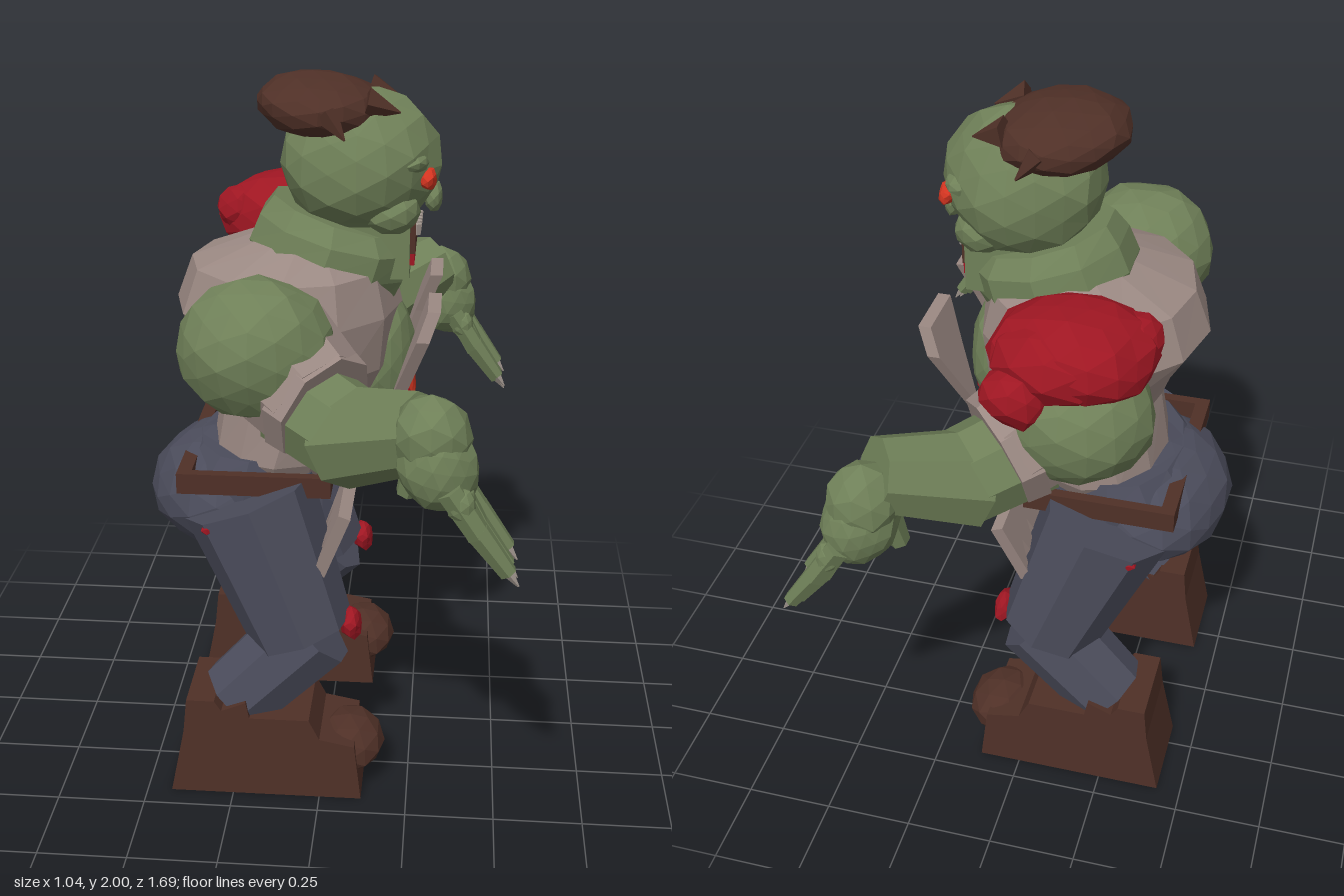
import * as THREE from 'three';

const GREEN = 0x6f8058, SHIRT = 0x9b8983, PANTS = 0x4b4c5b, BROWN = 0x4f3027, RED = 0x9e1622, GLOW = 0xd23420, BONE = 0xa39890;
const mats = {};
const mat = (c) => (mats[c] ??= new THREE.MeshStandardMaterial({ color: c, flatShading: true }));
const V = (p) => new THREE.Vector3(...p);

function add(parent, name, geo, color, pos = [0, 0, 0]) {
  const m = new THREE.Mesh(geo, mat(color));
  m.name = name;
  m.position.set(...pos);
  parent.add(m);
  return m;
}

// Faceted, slightly irregular ellipsoid
function blob(parent, name, color, pos, size, detail = 2, rough = 0.06, tilt = 0) {
  const geo = new THREE.IcosahedronGeometry(1, detail);
  const p = geo.attributes.position, v = new THREE.Vector3();
  for (let i = 0; i < p.count; i++) {
    v.fromBufferAttribute(p, i);
    const r = [v.x, v.y, v.z].map((n) => Math.round(n * 100));
    const h = Math.sin(r[0] * 1.27 + r[1] * 3.11 + r[2] * 7.47 + pos[1] * 9) * rough;
    v.multiplyScalar(1 + h);
    p.setXYZ(i, v.x, v.y, v.z);
  }
  geo.scale(...size).rotateZ(tilt);
  geo.computeVertexNormals();
  return add(parent, name, geo, color, pos);
}

// Tapered faceted cylinder from a to b
function limb(parent, name, color, a, b, ra, rb, sides = 8) {
  const d = V(b).sub(V(a));
  const geo = new THREE.CylinderGeometry(rb, ra, d.length(), sides);
  const m = add(parent, name, geo, color);
  m.position.copy(V(a).add(V(b)).multiplyScalar(0.5));
  m.quaternion.setFromUnitVectors(new THREE.Vector3(0, 1, 0), d.normalize());
  return m;
}

function box(parent, name, color, pos, size) {
  return add(parent, name, new THREE.BoxGeometry(...size), color, pos);
}

function plate(points, depth) {
  const shape = new THREE.Shape(points.map(([x, y]) => new THREE.Vector2(x, y)));
  return new THREE.ExtrudeGeometry(shape, { depth, bevelEnabled: false });
}

// Body of oval rings: [y, back x, front x, half width], optionally sloping down to the front
function loft(rings, sides, slope = 0) {
  const n = rings.length - 1;
  const geo = new THREE.CylinderGeometry(1, 1, n, sides, n);
  const p = geo.attributes.position;
  for (let i = 0; i < p.count; i++) {
    const [y, x0, x1, rz] = rings[Math.round(p.getY(i) + n / 2)];
    const x = p.getX(i);
    p.setXYZ(i, (x0 + x1) / 2 + (x * (x1 - x0)) / 2, y - x * slope, p.getZ(i) * rz);
  }
  geo.computeVertexNormals();
  return geo;
}

function buildHead(g) {
  const head = new THREE.Group();
  head.name = 'head';
  g.add(head);
  const neck = loft([[1.4, -0.22, 0.16, 0.16], [1.5, -0.23, 0.21, 0.21], [1.57, -0.2, 0.23, 0.2], [1.62, -0.16, 0.2, 0.16]], 10, 0.06);
  add(head, 'neck', neck, GREEN);
  blob(head, 'skull', GREEN, [0.08, 1.765, 0], [0.22, 0.2, 0.2], 2, 0.035);
  box(head, 'jaw', GREEN, [0.13, 1.54, 0], [0.18, 0.15, 0.22]);
  blob(head, 'hair', BROWN, [-0.02, 1.912, 0], [0.185, 0.088, 0.195], 2, 0.03, -0.1);
  blob(head, 'nose', GREEN, [0.28, 1.67, 0], [0.025, 0.045, 0.035], 1, 0.08);
  box(head, 'mouth', BROWN, [0.215, 1.57, 0], [0.04, 0.08, 0.17]);
  box(head, 'tongue', RED, [0.215, 1.515, 0], [0.035, 0.035, 0.165]);
  for (let i = -2; i <= 2; i++) {
    limb(head, 'tooth', BONE, [0.238, 1.61, i * 0.033], [0.238, 1.58, i * 0.033], 0.014, 0.01, 5);
  }
  for (const s of [1, -1]) {
    blob(head, 'eye', GLOW, [0.265, 1.74, s * 0.09], [0.025, 0.03, 0.036], 1, 0.1);
    blob(head, 'cheek', GREEN, [0.17, 1.65, s * 0.09], [0.08, 0.065, 0.075], 1, 0.05);
    blob(head, 'brow', GREEN, [0.215, 1.785, s * 0.09], [0.055, 0.03, 0.07], 1, 0.05);
    limb(head, 'hairSpike', BROWN, [0.1, 1.94, s * 0.11], [0.19, 1.915, s * 0.1], 0.045, 0.002, 5);
    limb(head, 'sideHair', BROWN, [0.0, 1.92, s * 0.17], [0.05, 1.86, s * 0.2], 0.035, 0.003, 5);
  }
}

function buildArm(g, s) {
  const arm = new THREE.Group();
  arm.name = s > 0 ? 'armA' : 'armB';
  g.add(arm);
  blob(arm, 'shoulder', GREEN, [-0.16, s > 0 ? 1.365 : 1.34, s * 0.41], [0.21, 0.185, 0.19], 2, 0.03);
  // Torn sleeve with a raised cuff
  limb(arm, 'sleeve', SHIRT, [-0.13, 1.34, s * 0.36], [0.0, 1.25, s * 0.47], 0.18, 0.155);
  limb(arm, 'cuff', SHIRT, [-0.02, 1.255, s * 0.45], [0.025, 1.235, s * 0.49], 0.165, 0.155);
  limb(arm, 'upperArm', GREEN, [-0.06, 1.24, s * 0.43], [0.1, 1.19, s * 0.56], 0.135, 0.128);
  limb(arm, 'forearm', GREEN, [0.07, 1.18, s * 0.54], [0.28, 1.27, s * 0.7], 0.133, 0.1);
  // Drooping hand with clawed fingers
  const hand = new THREE.Group();
  hand.name = 'hand';
  hand.position.y = s > 0 ? 0.03 : -0.03;
  arm.add(hand);
  blob(hand, 'wrist', GREEN, [0.3, 1.24, s * 0.73], [0.1, 0.105, 0.095], 1, 0.04);
  blob(hand, 'palm', GREEN, [0.315, 1.17, s * 0.735], [0.1, 0.12, 0.098], 2, 0.03, 0.4);
  for (let i = 0; i < 4; i++) {
    const z = s * (0.672 + i * 0.046), drop = i === 0 || i === 3 ? 0.025 : 0;
    blob(hand, 'knuckle', GREEN, [0.375, 1.1, z], [0.036, 0.045, 0.033], 1, 0.03);
    limb(hand, 'finger', GREEN, [0.345, 1.14, z], [0.42, 1.0 + drop, z], 0.035, 0.031, 6);
    limb(hand, 'fingertip', GREEN, [0.415, 1.01 + drop, z], [0.495, 0.9 + drop, z], 0.031, 0.022, 6);
    limb(hand, 'nail', BONE, [0.485, 0.915 + drop, z], [0.52, 0.865 + drop, z], 0.018, 0.002, 5);
  }
  limb(hand, 'thumb', GREEN, [0.27, 1.17, s * 0.68], [0.24, 1.06, s * 0.665], 0.042, 0.028, 6);
}

function buildLeg(g, s) {
  const leg = new THREE.Group();
  leg.name = s > 0 ? 'legA' : 'legB';
  g.add(leg);
  limb(leg, 'thigh', PANTS, [-0.215, 0.86, s * 0.23], [-0.06, 0.46, s * 0.28], 0.19, 0.15);
  limb(leg, 'shin', PANTS, [-0.02, 0.48, s * 0.285], [-0.25, 0.25, s * 0.305], 0.13, 0.118);
  blob(leg, 'kneeWound', RED, [0.08, 0.49, s * 0.275], [0.032, 0.045, 0.055], 1, 0.12);
  blob(leg, 'thighWound', RED, [-0.31, 0.82, s * 0.375], [0.02, 0.015, 0.02], 0, 0);
  // Boot silhouette extruded across its width, narrower towards the top
  const boot = plate([[-0.43, 0], [0.12, 0], [0.1, 0.17], [0.0, 0.19], [-0.03, 0.25], [-0.2, 0.25],
    [-0.21, 0.3], [-0.28, 0.27], [-0.3, 0.3], [-0.38, 0.3], [-0.39, 0.2]], 0.255);
  boot.translate(0, 0, -0.1275);
  const p = boot.attributes.position;
  for (let i = 0; i < p.count; i++) p.setZ(i, p.getZ(i) * (1 - p.getY(i) * 0.25));
  add(leg, 'boot', boot, BROWN, [0, 0, s * 0.308]);
  blob(leg, 'bootToe', BROWN, [0.08, 0.12, s * 0.308], [0.1, 0.085, 0.12], 1, 0.03);
}

export function createModel() {
  const g = new THREE.Group();
  g.name = 'undeadBrute';

  const torso = loft([[0.88, -0.31, 0.03, 0.21], [0.95, -0.34, 0.06, 0.25], [1.14, -0.31, 0.14, 0.255],
    [1.22, -0.34, 0.18, 0.31], [1.37, -0.435, 0.2, 0.335], [1.49, -0.39, 0.17, 0.3], [1.555, -0.22, 0.06, 0.17]], 12);
  add(g, 'shirt', torso, SHIRT);
  blob(g, 'belly', GREEN, [0.14, 1.21, 0], [0.1, 0.2, 0.12], 2, 0.02);
  blob(g, 'bellyWound', RED, [0.215, 1.1, 0.02], [0.02, 0.035, 0.05], 1, 0.15);
  blob(g, 'exposedGut', GLOW, [0.225, 1.13, 0.02], [0.02, 0.065, 0.025], 1, 0.1);
  blob(g, 'looseFlesh', GREEN, [0.075, 0.905, -0.08], [0.06, 0.09, 0.095], 1, 0.05);

  blob(g, 'hips', PANTS, [-0.3, 0.805, 0], [0.225, 0.175, 0.29], 2, 0.02);
  add(g, 'waist', loft([[0.8, -0.44, 0.0, 0.27], [0.9, -0.44, -0.01, 0.27], [0.965, -0.38, -0.04, 0.24]], 12), PANTS);
  blob(g, 'crotch', PANTS, [-0.08, 0.77, 0], [0.13, 0.14, 0.16], 1, 0.02);
  // Square belt around the hips
  box(g, 'beltBack', BROWN, [-0.39, 0.91, 0], [0.04, 0.06, 0.56]);
  box(g, 'beltFront', BROWN, [0.0, 0.91, 0], [0.04, 0.06, 0.54]);

  for (const s of [1, -1]) {
    box(g, 'beltSide', BROWN, [-0.195, 0.91, s * 0.265], [0.43, 0.06, 0.03]);
    // Open shirt front, standing off the chest
    const lapel = plate([[-s * 0.08, 1.42], [-s * 0.25, 1.42], [-s * 0.27, 1.34], [-s * 0.17, 1.12], [-s * 0.12, 1.3]], 0.035);
    lapel.rotateY(Math.PI / 2).translate(0.275, 0, 0);
    const p = lapel.attributes.position;
    for (let i = 0; i < p.count; i++) p.setX(i, p.getX(i) - (1.42 - p.getY(i)) * 0.35);
    lapel.computeVertexNormals();
    add(g, 'lapel', lapel, SHIRT);
    // Ragged hem hanging over the thigh
    const hem = plate([[0.07, 0.89], [0.385, 0.88], [0.35, 0.67], [0.31, 0.78], [0.27, 0.66], [0.24, 0.8],
      [0.2, 0.67], [0.16, 0.8], [0.12, 0.69]].map(([z, y]) => [-s * z, y - 0.88]), 0.035);
    hem.rotateY(Math.PI / 2).rotateZ(-0.36);
    add(g, 'raggedHem', hem, SHIRT, [0.05, 0.88, 0]);
    buildArm(g, s);
    buildLeg(g, s);
  }

  // Swollen sore covering one shoulder
  blob(g, 'shoulderSore', RED, [-0.15, 1.51, -0.39], [0.215, 0.135, 0.18], 2, 0.04);
  blob(g, 'soreBulge', RED, [-0.12, 1.51, -0.43], [0.17, 0.12, 0.15], 1, 0.05);
  blob(g, 'soreLump', RED, [-0.04, 1.45, -0.53], [0.09, 0.085, 0.08], 1, 0.08);
  blob(g, 'soreLump', RED, [-0.3, 1.54, -0.34], [0.07, 0.07, 0.07], 1, 0.08);

  buildHead(g);
  return g;
}
